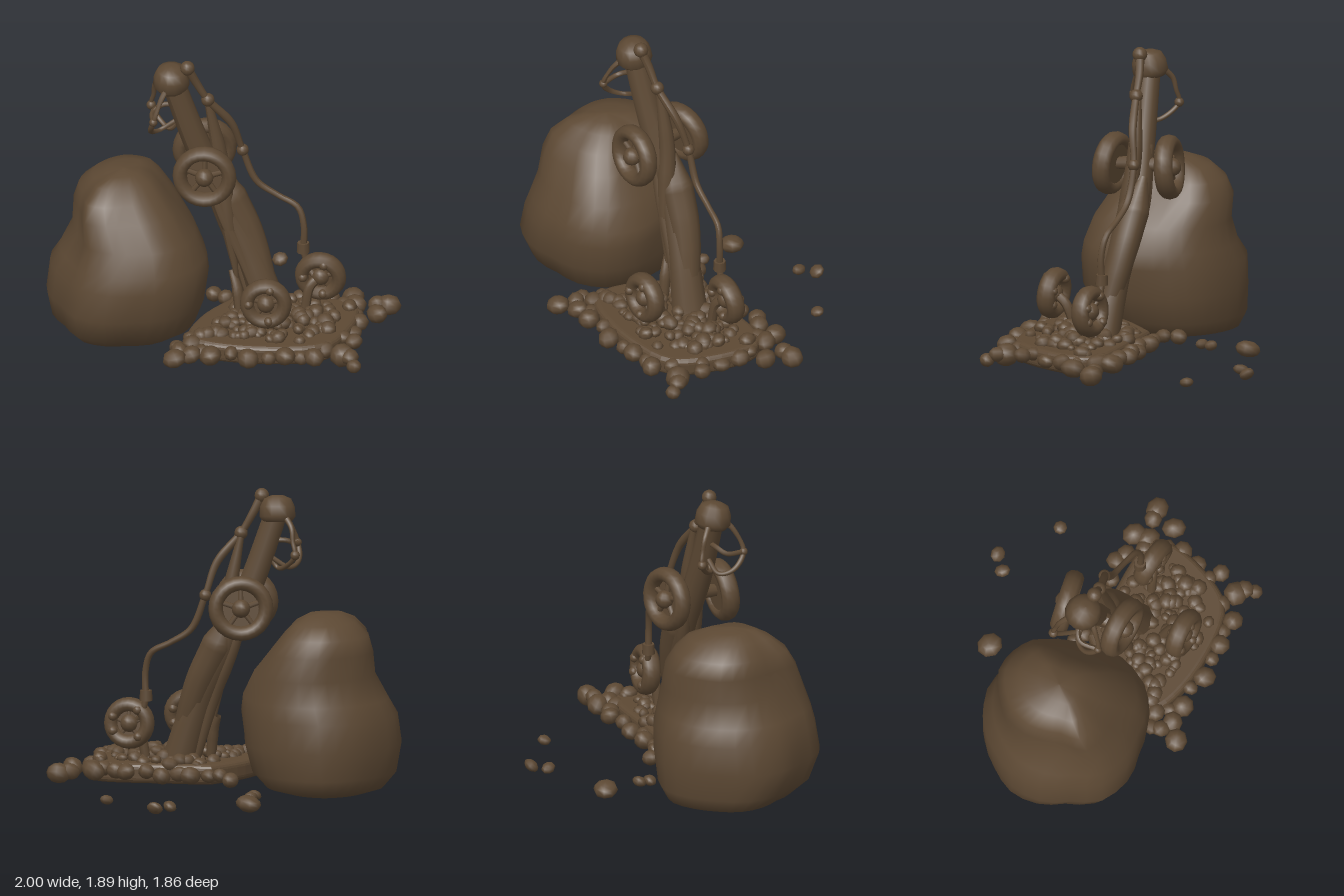
import * as THREE from 'three';

const V = p => new THREE.Vector3(...p);

export function createModel() {
  const model = new THREE.Group();
  const clay = new THREE.MeshStandardMaterial({ color: 0x5c4833, side: THREE.DoubleSide });
  clay.name = 'brown clay';

  let seed = 11;
  const rnd = () => (seed = (seed * 16807) % 2147483647) / 2147483647;

  const add = (name, geo, pos = [0, 0, 0], parent = model) => {
    const m = new THREE.Mesh(geo, clay);
    m.name = name;
    m.position.set(...pos);
    parent.add(m);
    return m;
  };
  const ball = (name, pos, r, parent) => add(name, new THREE.SphereGeometry(r, 12, 8), pos, parent);

  // Tube through points; its radius follows a list of values along the length
  const tube = (name, pts, radii, seg = 28, sides = 10) => {
    const curve = new THREE.CatmullRomCurve3(pts.map(V));
    const geo = new THREE.TubeGeometry(curve, seg, 1, sides);
    const pos = geo.attributes.position;
    const v = new THREE.Vector3();
    for (let i = 0; i <= seg; i++) {
      const c = curve.getPointAt(i / seg);
      const f = (i / seg) * (radii.length - 1);
      const k = Math.min(Math.floor(f), radii.length - 2);
      const r = radii.length < 2 ? radii[0] : THREE.MathUtils.lerp(radii[k], radii[k + 1], f - k);
      for (let j = 0; j <= sides; j++) {
        const n = i * (sides + 1) + j;
        v.fromBufferAttribute(pos, n).sub(c).multiplyScalar(r).add(c);
        pos.setXYZ(n, v.x, v.y, v.z);
      }
    }
    geo.computeVertexNormals();
    return add(name, geo);
  };

  // Boulder: rings given as y, x range, z range; uneven outline, pinched along one diagonal near the top
  const rings = [
    [0.02, -0.57, -0.57, 0.4, 0.4], [0.025, -0.84, -0.34, 0.12, 0.6], [0.06, -0.94, -0.2, 0.0, 0.76],
    [0.15, -0.99, -0.07, -0.06, 0.87], [0.32, -1.0, 0.0, -0.09, 0.93], [0.5, -1.0, 0.02, -0.09, 0.9],
    [0.6, -0.94, 0.0, -0.07, 0.87], [0.75, -0.89, -0.06, -0.04, 0.82], [0.9, -0.9, -0.18, -0.01, 0.79],
    [1.0, -0.86, -0.27, 0.05, 0.74], [1.08, -0.77, -0.37, 0.13, 0.64], [1.12, -0.66, -0.45, 0.25, 0.54],
    [1.13, -0.55, -0.55, 0.4, 0.4]];
  const uneven = [1, 0.98, 0.92, 0.97, 1, 0.92, 0.97, 1.01, 1, 1.03, 1.07, 1.03, 1, 0.96, 0.93, 0.97];
  const N = 32, verts = [], faces = [];
  rings.forEach(([y, x0, x1, z0, z1], i) => {
    const pinch = 0.15 * THREE.MathUtils.smoothstep(y, 0.55, 0.95);
    for (let j = 0; j < N; j++) {
      const a = (j / N) * Math.PI * 2;
      const h = j >> 1;
      const k = (uneven[h] + uneven[(h + j % 2) % 16]) / 2 + 0.015 * Math.sin(2 * a) * Math.sin(3 * a + i)
        - pinch * Math.max(0, -Math.sin(2 * a));
      verts.push((x0 + x1) / 2 + Math.cos(a) * k * (x1 - x0) / 2, y, (z0 + z1) / 2 + Math.sin(a) * k * (z1 - z0) / 2);
      if (i < rings.length - 1) {
        const A = i * N + j, B = i * N + (j + 1) % N;
        faces.push(A, A + N, B, B, A + N, B + N);
      }
    }
  });
  const boulderGeo = new THREE.BufferGeometry();
  boulderGeo.setAttribute('position', new THREE.Float32BufferAttribute(verts, 3));
  boulderGeo.setIndex(faces);
  boulderGeo.computeVertexNormals();
  add('boulder', boulderGeo);

  // Ground slab with a rounded outline
  const outline = [[-0.08, -0.12], [0.12, -0.27], [0.45, -0.5], [0.6, -0.42], [0.7, -0.15], [0.68, 0.06],
    [0.42, 0.3], [0.14, 0.44], [0.0, 0.4], [-0.08, 0.15], [-0.08, -0.12]].map(p => new THREE.Vector2(...p));
  const slabGeo = new THREE.ExtrudeGeometry(new THREE.Shape(new THREE.SplineCurve(outline).getPoints(40)), {
    depth: 0.055, bevelEnabled: true, bevelSize: 0.035, bevelThickness: 0.035, bevelSegments: 4 });
  add('groundSlab', slabGeo.rotateX(Math.PI / 2), [0, 0.15, 0]);

  // Stones: border, loose and scattered on the slab
  const stone = (name, x, y, z, r, flat = 0.85) => {
    const s = add(name, new THREE.SphereGeometry(r, 8, 6), [x, y, z]);
    s.scale.set(0.9 + 0.25 * rnd(), flat, 0.9 + 0.2 * rnd());
    s.rotation.set(0.4 * rnd(), 6 * rnd(), 0.4 * rnd());
  };
  [[-0.3, -0.16, 0.055], [-0.2, -0.15, 0.05], [-0.12, -0.17, 0.05], [-0.04, -0.25, 0.065], [0.04, -0.27, 0.055],
    [0.1, -0.36, 0.06], [0.25, -0.52, 0.06], [0.17, -0.42, 0.055], [0.32, -0.53, 0.06], [0.42, -0.63, 0.07],
    [0.44, -0.52, 0.055], [0.49, -0.57, 0.065], [0.62, -0.73, 0.075], [0.57, -0.68, 0.06], [0.66, -0.57, 0.068],
    [0.65, -0.41, 0.06], [0.57, -0.47, 0.05], [0.7, -0.3, 0.05], [0.8, -0.18, 0.055], [0.72, -0.18, 0.05],
    [0.83, -0.03, 0.085], [0.89, -0.03, 0.055], [0.74, 0.13, 0.065], [0.72, 0.0, 0.06], [0.6, 0.24, 0.065],
    [0.66, 0.16, 0.05], [0.43, 0.39, 0.07], [0.52, 0.3, 0.05], [0.23, 0.51, 0.07], [0.32, 0.42, 0.05],
    [0.1, 0.7, 0.065], [0.13, 0.58, 0.06], [0.05, 0.59, 0.055], [0.06, 0.48, 0.065], [0.15, 0.5, 0.05],
    [0.0, 0.55, 0.05], [0.0, 0.42, 0.05], [0.02, 0.33, 0.045]]
    .forEach(([x, z, r]) => stone('borderStone', x, 0.12 + 0.03 * rnd(), z, r));
  stone('borderStone', 0.95, 0.095, 0.0, 0.05);
  [[-0.38, -0.89, 0.047], [0.04, -0.89, 0.042], [-0.4, -0.78, 0.045], [-0.67, -0.37, 0.072],
    [-0.51, -0.19, 0.045], [-0.48, -0.13, 0.045]].forEach(([x, z, r]) => stone('looseStone', x, 0.045, z, r, 0.7));
  for (let i = 0; i < 120; i++) {
    const u = rnd(), w = rnd();
    const x = (1 - w) * (-0.02 + 0.55 * u) + w * (0.06 + 0.64 * u);
    const z = (1 - w) * (-0.2 - 0.3 * u) + w * (0.42 - 0.34 * u);
    const mound = 16 * u * (1 - u) * w * (1 - w);
    stone('pebble', x, 0.175 + (0.02 + 0.04 * mound) * rnd(), z, 0.028 + 0.027 * rnd());
  }

  // Leaning body, rear pod, side fin and long rails
  tube('body', [[0.21, 0.15, -0.11], [0.1, 0.5, -0.07], [-0.09, 0.95, 0.01], [-0.2, 1.3, 0.12], [-0.31, 1.75, 0.23]],
    [0.11, 0.09, 0.085, 0.08, 0.072]);
  tube('rearPod', [[-0.14, 1.12, 0.0], [-0.06, 0.93, -0.03], [0.05, 0.68, -0.08], [0.17, 0.35, -0.1]],
    [0.03, 0.1, 0.095, 0.085, 0.07]);
  tube('sideFin', [[-0.15, 1.6, 0.08], [-0.09, 1.2, 0.03], [-0.02, 0.8, 0.04], [0.04, 0.42, 0.03]],
    [0.02, 0.045, 0.055, 0.045, 0.012]);
  tube('leftRail', [[-0.2, 1.45, 0.13], [-0.08, 0.95, 0.08], [0.09, 0.5, 0.0], [0.2, 0.2, -0.04]], [0.03, 0.04, 0.03]);
  tube('rightRail', [[-0.22, 1.3, 0.07], [-0.16, 0.95, 0.02], [-0.02, 0.6, -0.02], [0.1, 0.2, -0.06]], [0.03, 0.045, 0.03]);
  tube('footBrace', [[0.0, 0.46, 0.03], [0.05, 0.36, 0.04], [0.08, 0.2, 0.05]], [0.02, 0.035, 0.03], 10);

  // Rounded head with a cap ball
  const headGeo = new THREE.LatheGeometry([[0, -0.085], [0.085, -0.085], [0.112, -0.05], [0.108, 0.01], [0.085, 0.06],
    [0.04, 0.08], [0, 0.083]].map(p => new THREE.Vector2(...p)), 14);
  add('head', headGeo, [-0.31, 1.765, 0.235]).rotation.set(0.12, 0, -0.12);
  ball('capBall', [-0.22, 1.84, 0.19], 0.046);

  // Long hose with joints and an end clamp
  tube('longHose', [[-0.22, 1.84, 0.19], [-0.19, 1.73, 0.14], [-0.14, 1.61, 0.09], [-0.05, 1.43, -0.03],
    [-0.02, 1.23, -0.1], [0.05, 1.02, -0.15], [0.16, 0.93, -0.22], [0.27, 0.86, -0.28], [0.31, 0.74, -0.29],
    [0.305, 0.57, -0.29]], [0.03, 0.022, 0.026, 0.02, 0.022, 0.018, 0.02, 0.022], 50);
  ball('upperJoint', [-0.14, 1.61, 0.09], 0.042);
  ball('lowerJoint', [-0.02, 1.23, -0.1], 0.038);
  add('hoseClamp', new THREE.CylinderGeometry(0.037, 0.04, 0.065, 8), [0.305, 0.59, -0.29]);
  tube('clampLink', [[0.305, 0.57, -0.29], [0.33, 0.48, -0.3], [0.38, 0.42, -0.3]], [0.02], 10);

  // Two looped handles hanging from the head
  tube('sideLoop', [[-0.4, 1.72, 0.22], [-0.46, 1.66, 0.21], [-0.48, 1.58, 0.2], [-0.5, 1.5, 0.2], [-0.41, 1.42, 0.21],
    [-0.33, 1.4, 0.22], [-0.29, 1.46, 0.2], [-0.28, 1.6, 0.2]], [0.02, 0.014, 0.016, 0.014, 0.016], 36, 8);
  tube('frontLoop', [[-0.29, 1.72, 0.3], [-0.29, 1.66, 0.36], [-0.3, 1.53, 0.42], [-0.36, 1.43, 0.37],
    [-0.37, 1.4, 0.28], [-0.3, 1.46, 0.2]], [0.02, 0.014, 0.018, 0.014, 0.016], 36, 8);
  tube('crossLink', [[-0.3, 1.53, 0.42], [-0.38, 1.54, 0.33], [-0.36, 1.57, 0.26], [-0.27, 1.57, 0.18]], [0.016], 16, 8);
  ball('sideLoopEnd', [-0.5, 1.5, 0.2], 0.03);
  ball('frontLoopEnd', [-0.3, 1.53, 0.42], 0.026);

  // Wheels: wide tyre, disc set in by an offset, spokes, round hub and optional mud lumps, tilted a little
  const wheel = (name, pos, nx, nz, R, tilt, offset, lumps) => {
    const g = new THREE.Group();
    g.name = name;
    g.position.set(...pos);
    g.rotation.order = 'YXZ';
    g.rotation.set(tilt, Math.atan2(nx, nz), 0);
    model.add(g);
    add('tyre', new THREE.TorusGeometry(R - 0.045, 0.045, 10, 24), [0, 0, 0], g).scale.z = 1.3;
    add('wheelDisc', new THREE.CylinderGeometry(R - 0.05, R - 0.05, 0.02, 20), [0, 0, offset], g).rotation.x = Math.PI / 2;
    for (let i = 0; i < 5; i++) {
      const a = (i / 5) * Math.PI * 2 + 0.3;
      const s = add('spoke', new THREE.CylinderGeometry(0.016, 0.02, R * 0.7, 6),
        [Math.cos(a) * R * 0.38, Math.sin(a) * R * 0.38, 0], g);
      s.rotation.z = a - Math.PI / 2;
    }
    ball('hub', [0, 0, -offset * 0.6], 0.057, g);
    for (let i = 0; i < lumps; i++) {
      const a = i * 0.9 + 0.4;
      ball('mudLump', [Math.cos(a) * (R - 0.055), Math.sin(a) * (R - 0.055), (i % 2 ? 1 : -1) * 0.04], 0.03, g);
    }
  };
  wheel('upperLeftWheel', [-0.05, 1.165, 0.23], 0.56, 0.83, 0.197, -0.08, -0.03, 0);
  wheel('upperRightWheel', [-0.29, 1.175, -0.06], 0.74, 0.67, 0.2, 0.08, 0.03, 0);
  wheel('lowerLeftWheel', [0.39, 0.41, 0.17], 0.58, 0.81, 0.16, -0.08, 0, 7);
  wheel('lowerRightWheel', [0.41, 0.41, -0.33], 0.5, 0.86, 0.16, 0.08, 0, 7);

  // Axles
  tube('upperAxle', [[-0.05, 1.165, 0.23], [-0.17, 1.18, 0.09], [-0.29, 1.175, -0.06]], [0.035, 0.05, 0.035], 10);
  tube('lowerLeftStub', [[0.39, 0.41, 0.17], [0.35, 0.36, 0.1], [0.3, 0.2, 0.06]], [0.03], 10);
  tube('lowerRightStub', [[0.41, 0.41, -0.33], [0.38, 0.36, -0.27], [0.36, 0.2, -0.24]], [0.03], 10);

  return model;
}
